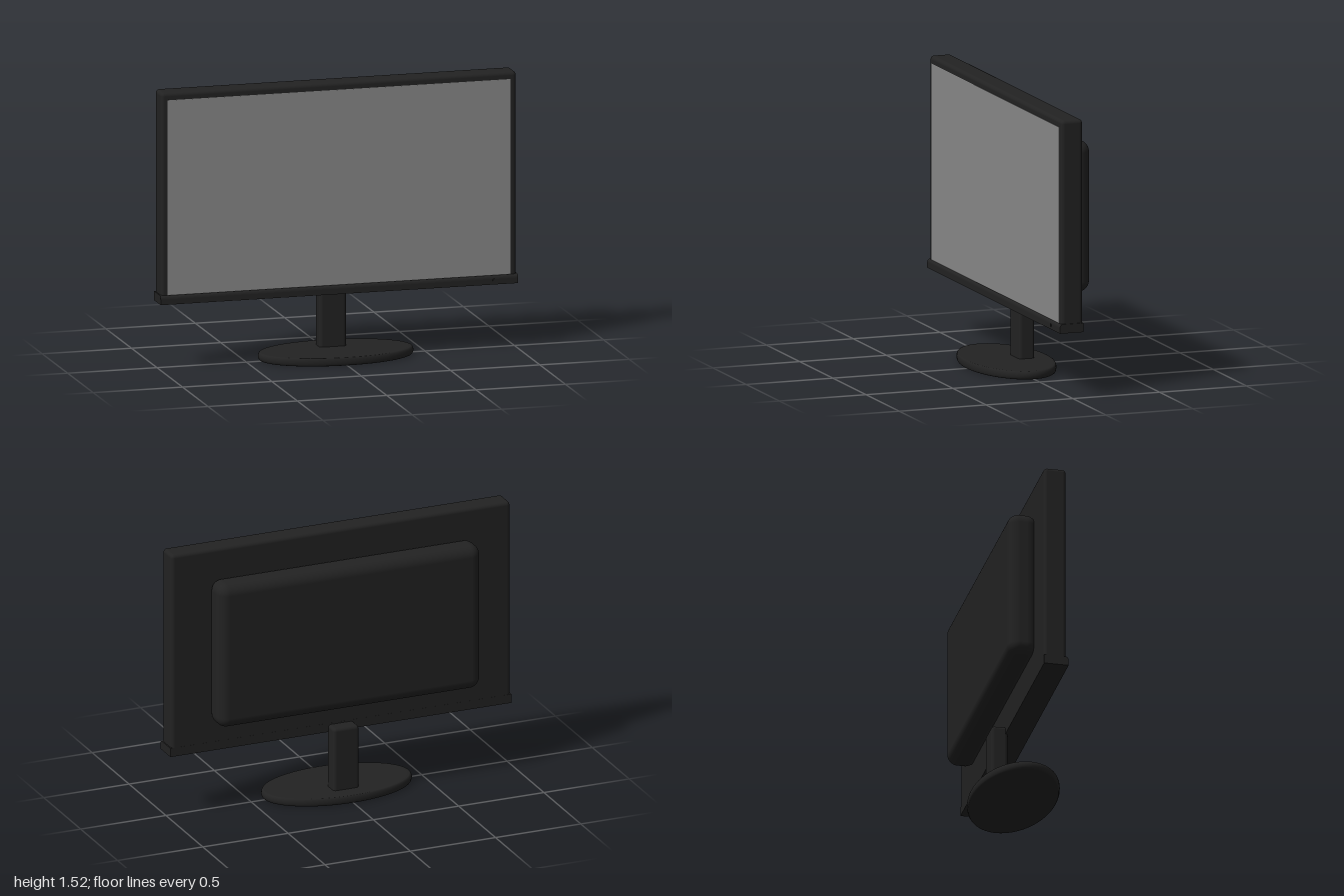
import * as THREE from 'three';
import { RoundedBoxGeometry } from 'three/addons/geometries/RoundedBoxGeometry.js';

export function createModel() {
  const model = new THREE.Group();
  const plastic = new THREE.MeshStandardMaterial({ color: 0x222222 });
  plastic.name = 'black plastic';
  const glass = new THREE.MeshStandardMaterial({ color: 0x888888 });
  glass.name = 'grey screen';

  const add = (name, geometry, material, x = 0, y = 0, z = 0) => {
    const mesh = new THREE.Mesh(geometry, material);
    mesh.name = name;
    mesh.position.set(x, y, z);
    model.add(mesh);
    return mesh;
  };

  // Panel body with softened edges
  add('panelBody', new RoundedBoxGeometry(1.988, 1.155, 0.123, 4, 0.02), plastic, 0, 0.9475, 0.001);

  // Screen plate, flush with the bezel
  add('screen', new THREE.BoxGeometry(1.92, 1.075, 0.006), glass, 0, 0.9475, 0.061);

  // Bottom trim: a profile with a rounded upper front edge, run along x
  const trim = new THREE.Shape();
  trim.moveTo(0.061, 0);
  trim.lineTo(-0.074, 0);
  trim.lineTo(-0.074, 0.03);
  trim.quadraticCurveTo(-0.073, 0.046, -0.06, 0.05);
  trim.lineTo(0.061, 0.05);
  trim.closePath();
  const trimGeometry = new THREE.ExtrudeGeometry(trim, { depth: 2, bevelEnabled: false, curveSegments: 6 });
  trimGeometry.translate(0, 0, -1).rotateY(Math.PI / 2);
  add('bottomTrim', trimGeometry, plastic, 0, 0.36, 0);

  // Power button
  const button = add('powerButton', new THREE.CylinderGeometry(0.008, 0.008, 0.006, 16), plastic, 0.865, 0.384, 0.075);
  button.rotation.x = Math.PI / 2;

  // Rear electronics housing
  add('rearHousing', new RoundedBoxGeometry(1.54, 0.83, 0.158, 8, 0.06), plastic, 0, 0.94, -0.12);

  // Stand neck
  add('standNeck', new RoundedBoxGeometry(0.15, 0.38, 0.09, 4, 0.018), plastic, 0, 0.212, -0.092);

  // Oval foot with a rounded rim, turned and squashed in z
  const rim = [[0, 0], [0.415, 0]];
  for (let i = 1; i <= 8; i++) {
    const a = -Math.PI / 2 + (i / 8) * Math.PI;
    rim.push([0.415 + 0.015 * Math.cos(a), 0.0225 + 0.0225 * Math.sin(a)]);
  }
  rim.push([0.4, 0.045], [0, 0.045]);
  const foot = new THREE.LatheGeometry(rim.map(([r, y]) => new THREE.Vector2(r, y)), 64);
  foot.scale(1, 1, 0.55);
  add('standFoot', foot, plastic);

  return model;
}
